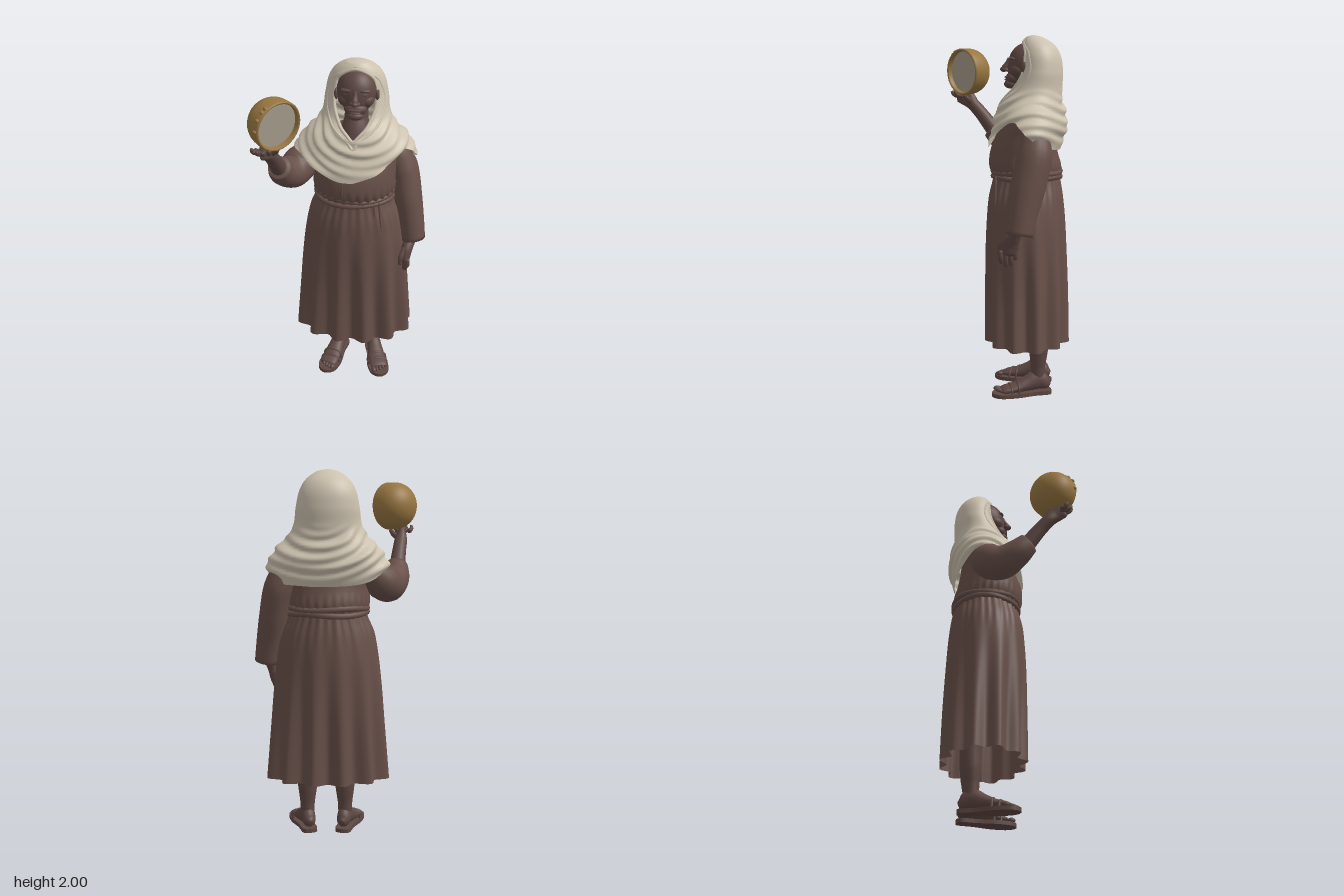
import * as THREE from 'three';
import { mergeVertices } from 'three/addons/utils/BufferGeometryUtils.js';

const V = (x, y, z) => new THREE.Vector3(x, y, z);
const { smoothstep } = THREE.MathUtils;

// Smooth surface from a rule fn(u, v), u and v in 0..1
function surface(nu, nv, fn) {
  const pos = [], idx = [];
  for (let j = 0; j <= nv; j++) for (let i = 0; i <= nu; i++) pos.push(...fn(i / nu, j / nv));
  for (let j = 0; j < nv; j++) for (let i = 0; i < nu; i++) {
    const a = j * (nu + 1) + i, b = a + 1, c = a + nu + 1, d = c + 1;
    idx.push(a, b, d, a, d, c);
  }
  let g = new THREE.BufferGeometry();
  g.setAttribute('position', new THREE.Float32BufferAttribute(pos, 3));
  g.setIndex(idx);
  g = mergeVertices(g, 1e-5);
  g.computeVertexNormals();
  return g;
}

// Smooth lookup of rows [key, ...values], key rising
function profile(rows) {
  const size = rows[0].length - 1;
  const f = new THREE.CubicInterpolant(rows.map(r => r[0]), rows.flatMap(r => r.slice(1)), size, new Float32Array(size));
  return key => [...f.evaluate(key)];
}

// Capped limb through points [x, y, z, radius, second radius]
function limb(points, ref = V(0, 0, 1), n = 20, m = 28) {
  const curve = new THREE.CatmullRomCurve3(points.map(p => V(p[0], p[1], p[2])));
  const radius = (t, k) => {
    const s = t * (points.length - 1), i = Math.min(Math.floor(s), points.length - 2);
    const at = p => p[3 + k] ?? p[3];
    return THREE.MathUtils.lerp(at(points[i]), at(points[i + 1]), s - i);
  };
  return surface(n, m + 2, (u, v) => {
    const row = Math.round(v * (m + 2)), t = Math.min(Math.max(row - 1, 0), m) / m;
    const end = row === 0 || row === m + 2 ? 0 : 1;
    const c = curve.getPoint(t), tan = curve.getTangent(t);
    const side = ref.clone().cross(tan).normalize(), up = tan.clone().cross(side);
    const a = u * Math.PI * 2;
    c.addScaledVector(side, Math.cos(a) * radius(t, 0) * end).addScaledVector(up, Math.sin(a) * radius(t, 1) * end);
    return c.toArray();
  });
}

const tube = (pts, r, closed = false, n = 64) =>
  new THREE.TubeGeometry(new THREE.CatmullRomCurve3(pts, closed), n, r, 8, closed);

export function createModel() {
  const model = new THREE.Group();
  const mat = (name, color, side = THREE.FrontSide) => Object.assign(new THREE.MeshStandardMaterial({ color, side }), { name });
  const skin = mat('dark skin', 0x5e4843);
  const dress = mat('brown cloth', 0x685049, THREE.DoubleSide);
  const cream = mat('cream cloth', 0xcdc2af, THREE.DoubleSide);
  const gold = mat('golden wood', 0x987641);
  const hide = mat('grey drum skin', 0xa59c8c);
  const add = (name, geo, material, parent = model) => {
    const mesh = new THREE.Mesh(geo, material);
    mesh.name = name;
    parent.add(mesh);
    return mesh;
  };
  const ball = (name, x, y, z, rx, ry, rz, parent = model, material = skin) => {
    const b = add(name, new THREE.SphereGeometry(1, 20, 14), material, parent);
    b.position.set(x, y, z);
    b.scale.set(rx, ry, rz);
    return b;
  };
  // Point on a body ring [halfWidth, frontZ, backZ] at angle a from the front
  const ring = ([hx, zf, zb], y, a, d = 0) =>
    [0.052 + (hx + d) * Math.sin(a), y, (zf + zb) / 2 + ((zf - zb) / 2 + d) * Math.cos(a)];

  // Skirt with deep folds toward the hem
  const skirtShape = profile([[0.295, 0.355, 0.118, -0.37], [0.6, 0.328, 0.116, -0.362], [0.85, 0.305, 0.112, -0.35],
    [1.0, 0.285, 0.104, -0.34], [1.12, 0.258, 0.09, -0.325], [1.2, 0.222, 0.07, -0.31], [1.25, 0.21, 0.06, -0.3]]);
  add('skirt', surface(192, 40, (u, v) => {
    const y = 0.297 + 0.943 * v, a = u * Math.PI * 2;
    const deep = 0.021 * (1 - smoothstep(y, 0.3, 1.2)) + 0.002;
    const d = -deep * (1 + Math.cos(12 * a + 0.6 * Math.sin(2 * a))) + 0.003 * smoothstep(y, 0.95, 1.2) * Math.cos(32 * a);
    return ring(skirtShape(y), y, a, d);
  }), dress);

  // Blouse, gathered above the belt
  const blouseShape = profile([[1.22, 0.212, 0.06, -0.3], [1.28, 0.229, 0.086, -0.31], [1.36, 0.229, 0.084, -0.292],
    [1.45, 0.23, 0.052, -0.275], [1.55, 0.225, 0.0, -0.26], [1.62, 0.13, -0.04, -0.21], [1.66, 0.05, -0.08, -0.15]]);
  add('blouse', surface(160, 26, (u, v) => {
    const y = 1.22 + 0.44 * v, a = u * Math.PI * 2;
    return ring(blouseShape(y), y, a, 0.004 * (1 - smoothstep(y, 1.25, 1.36)) * Math.cos(30 * a));
  }), dress);
  add('blouseSeam', tube([1.27, 1.31, 1.36, 1.4].map(y => V(...ring(blouseShape(y), y, -0.23))), 0.004, false, 12), dress);

  // Twisted cord belt with hanging ends
  for (const [k, y] of [1.225, 1.255].entries()) {
    const pts = Array.from({ length: 24 }, (_, i) =>
      V(...ring([0.216, 0.066, -0.306], y + 0.005 * Math.sin(i * 0.8 + k * 3), i / 24 * Math.PI * 2)));
    add('beltCord', tube(pts, 0.016, true, 96), dress);
  }
  for (const x of [0.17, 0.2])
    add('beltEnd', tube([V(x, 1.24, 0.046), V(x + 0.01, 1.14, 0.046), V(x + 0.02, 1.03, 0.046)], 0.006, false, 12), dress);

  // Shawl: hood and shoulder drape as one sheet, open at the face
  const shawlShape = profile([[1.36, 0.322, 0.098, -0.298], [1.42, 0.322, 0.09, -0.322], [1.5, 0.315, 0.07, -0.342], [1.56, 0.295, 0.054, -0.337],
    [1.6, 0.264, 0.04, -0.327], [1.65, 0.215, 0.016, -0.317], [1.7, 0.187, -0.02, -0.314], [1.8, 0.171, -0.064, -0.318],
    [1.9, 0.146, -0.08, -0.3], [1.95, 0.112, -0.092, -0.265], [1.98, 0.072, -0.108, -0.22], [1.992, 0.045, -0.122, -0.19], [2, 0, -0.152, -0.152]]);
  const openShape = profile([[1.61, 0], [1.65, 0.055], [1.7, 0.092], [1.75, 0.112], [1.8, 0.118], [1.88, 0.107], [1.93, 0.08], [1.963, 0]]);
  const opening = y => y <= 1.61 || y >= 1.963 ? 0 : Math.asin(Math.min(0.9, Math.max(0, openShape(y)[0]) / shawlShape(y)[0]));
  // Lower edge by angle in degrees: point in front, notch before the left arm, low back
  const hemShape = profile([[0, 1.385], [20, 1.425], [45, 1.5], [65, 1.535], [90, 1.465], [120, 1.4], [150, 1.385], [180, 1.38],
    [220, 1.4], [255, 1.47], [280, 1.49], [315, 1.455], [345, 1.39], [360, 1.385]]);
  const drape = (a, y) => {
    const amp = 0.007 * (1 - smoothstep(y, 1.62, 1.72)) * smoothstep(y, 1.39, 1.48);
    const level = y - 0.12 * Math.sin(a) ** 2 + 0.05 * Math.sin(a + 0.5);
    const flare = 0.014 * Math.sin(a) ** 2 * (1 - smoothstep(y, 1.48, 1.62));
    return ring(shawlShape(y), y, a, flare + amp * (Math.sin(level * 105) + 0.6 * Math.sin(level * 61 + 2 * a) + 0.4 * Math.sin(level * 40 - 3 * a)));
  };
  add('shawl', surface(144, 90, (u, v) => {
    const hem = hemShape(u * 360)[0], y = hem + (2 - hem) * Math.sin(v * Math.PI / 2), o = opening(y);
    // u runs from one edge of the face, round the back, to the other
    return drape(o + (2 * Math.PI - 2 * o) * u, y);
  }), cream);

  // Rolled hood edge and loose cowl fold round the face
  const faceLoop = (extra, low, high, lift) => {
    const pts = [];
    for (const s of [1, -1]) for (let i = 0; i < 12; i++) {
      const k = i / 12, y = s > 0 ? low + (high - low) * k : high - (high - low) * k;
      const spread = extra * Math.sin(Math.PI * (y - low) / (high - low));
      pts.push(V(...ring(shawlShape(y), y, s * (opening(y) + spread), lift)));
    }
    return pts;
  };
  add('hoodEdge', tube(faceLoop(0, 1.605, 1.963, -0.005), 0.01, true, 120), cream);
  add('cowlFold', tube(faceLoop(0.4, 1.565, 1.972, -0.007), 0.01, true, 120), cream);

  // Head and neck
  const head = new THREE.Group();
  head.name = 'head';
  head.position.x = 0.058;
  model.add(head);
  const skull = new THREE.SphereGeometry(1, 32, 24), p = skull.attributes.position;
  for (let i = 0; i < p.count; i++) {
    const y = p.getY(i), jaw = Math.max(0, -y);
    p.setXYZ(i, p.getX(i) * 0.11 * (1 - 0.16 * jaw), 1.838 + y * 0.122, -0.128 + p.getZ(i) * 0.112 + jaw * 0.025);
  }
  skull.computeVertexNormals();
  add('skull', skull, skin, head);
  add('neck', limb([[0, 1.77, -0.12, 0.064], [0, 1.69, -0.105, 0.064], [0, 1.62, -0.09, 0.085], [0, 1.56, -0.09, 0.11]]), skin, head);
  add('nose', limb([[0, 1.875, -0.024, 0.01], [0, 1.845, -0.012, 0.014], [0, 1.822, 0.002, 0.018], [0, 1.804, 0.004, 0.014]], V(0, 0, 1), 14, 14), skin, head);
  ball('noseTip', 0, 1.814, 0.008, 0.019, 0.015, 0.02, head);
  ball('muzzle', 0, 1.766, -0.045, 0.062, 0.038, 0.042, head);
  ball('upperLip', 0, 1.772, -0.014, 0.04, 0.006, 0.018, head);
  ball('lowerLip', 0, 1.757, -0.014, 0.034, 0.007, 0.018, head);
  ball('chin', 0, 1.734, -0.032, 0.045, 0.026, 0.038, head);
  for (const s of [1, -1]) {
    ball('nostril', s * 0.017, 1.81, -0.006, 0.012, 0.01, 0.014, head);
    ball('brow', s * 0.042, 1.872, -0.044, 0.038, 0.011, 0.022, head).rotation.z = -s * 0.06;
    ball('eyelid', s * 0.043, 1.85, -0.042, 0.022, 0.009, 0.016, head);
    ball('cheek', s * 0.05, 1.808, -0.08, 0.048, 0.042, 0.052, head);
    ball('ear', s * 0.11, 1.82, -0.11, 0.012, 0.034, 0.022, head);
  }

  // Left arm hanging down
  add('leftSleeve', limb([[0.23, 1.53, -0.165, 0.055], [0.28, 1.45, -0.17, 0.078], [0.32, 1.36, -0.168, 0.083, 0.095],
    [0.352, 1.2, -0.135, 0.08, 0.095], [0.375, 1.06, -0.108, 0.075, 0.08], [0.392, 0.945, -0.09, 0.07, 0.072]]), dress);
  add('leftHand', limb([[0.385, 1.0, -0.085, 0.036], [0.375, 0.94, -0.065, 0.034, 0.032], [0.36, 0.895, -0.042, 0.05, 0.033],
    [0.355, 0.845, -0.03, 0.052, 0.027], [0.353, 0.83, -0.03, 0.04, 0.016]], V(1, 0, 0)), skin);
  for (let i = 0; i < 4; i++) {
    const z = 0.008 - i * 0.026, low = [0.785, 0.77, 0.772, 0.79][i], x = 0.368 - i * 0.007;
    add('leftFinger', limb([[x, 0.86, z, 0.014], [x, 0.82, z + 0.002, 0.014], [x - 0.01, low + 0.015, z, 0.012], [x - 0.015, low, z, 0.007]], V(1, 0, 0), 10, 10), skin);
  }
  add('leftThumb', limb([[0.35, 0.915, -0.02, 0.017], [0.33, 0.87, 0.012, 0.016], [0.324, 0.825, 0.018, 0.009]], V(1, 0, 0), 10, 10), skin);

  // Right arm raised under the drum
  add('rightSleeve', limb([[-0.11, 1.53, -0.155, 0.055], [-0.185, 1.45, -0.145, 0.082], [-0.25, 1.39, -0.11, 0.1],
    [-0.287, 1.37, -0.045, 0.096], [-0.327, 1.405, 0.03, 0.08], [-0.34, 1.465, 0.095, 0.062]]), dress);
  add('rightForearm', limb([[-0.338, 1.44, 0.075, 0.046], [-0.356, 1.55, 0.16, 0.039], [-0.368, 1.605, 0.21, 0.037],
    [-0.375, 1.64, 0.245, 0.048, 0.025], [-0.385, 1.662, 0.285, 0.048, 0.018], [-0.387, 1.667, 0.295, 0.034, 0.01]], V(1, 0, 0)), skin);
  for (let i = 0; i < 4; i++) {
    const k = i / 3, bx = -0.42 + 0.066 * k, tx = -0.435 + 0.09 * k, tz = [0.31, 0.335, 0.34, 0.32][i];
    add('rightFinger', limb([[bx, 1.655, 0.27, 0.014], [(bx + tx) / 2, 1.658, (0.28 + tz) / 2, 0.014], [tx, 1.668, tz - 0.01, 0.012], [tx, 1.684, tz, 0.008]], V(1, 0, 0), 10, 12), skin);
  }
  add('rightThumb', limb([[-0.36, 1.615, 0.22, 0.018], [-0.328, 1.637, 0.24, 0.016], [-0.31, 1.66, 0.26, 0.01]], V(0, 0, 1), 10, 10), skin);

  // Round-backed hand drum with a recessed head, facing forward and left
  const drum = new THREE.Group();
  drum.name = 'drum';
  drum.position.set(-0.334, 1.8, 0.236);
  drum.rotation.set(0.04, Math.PI / 4, 0, 'YXZ');
  model.add(drum);
  const bowl = Array.from({ length: 17 }, (_, i) => {
    const a = i / 16 * Math.PI / 2;
    return new THREE.Vector2(0.134 * Math.sin(a), -0.12 * Math.cos(a));
  });
  for (const q of [[0.136, 0.025], [0.136, 0.048], [0.132, 0.055], [0.126, 0.055], [0.121, 0.05], [0.119, 0.015]]) bowl.push(new THREE.Vector2(...q));
  add('drumBowl', new THREE.LatheGeometry(bowl, 48), gold, drum).rotation.x = Math.PI / 2;
  add('drumHead', new THREE.CircleGeometry(0.121, 48), hide, drum).position.z = 0.028;
  for (const a of [2.1, 2.3, 2.65, 3.1])
    ball('drumPeg', 0.134 * Math.cos(a), 0.134 * Math.sin(a), 0.036, 0.011, 0.011, 0.014, drum, gold);

  // Legs, feet and sandals
  const outline = new THREE.Shape();
  outline.moveTo(0, -0.078);
  outline.splineThru([[0.04, -0.06], [0.045, 0.03], [0.063, 0.14], [0.052, 0.23], [0, 0.265], [-0.052, 0.23], [-0.063, 0.14], [-0.045, 0.03], [-0.04, -0.06], [0, -0.078]]
    .map(q => new THREE.Vector2(...q)));
  for (const [side, x, s] of [['right', -0.043, -1], ['left', 0.168, 1]]) {
    const leg = new THREE.Group();
    leg.name = side + 'Leg';
    leg.position.set(x, 0, -0.19);
    leg.rotation.y = s * 0.27;
    model.add(leg);
    add('shin', limb([[0, 0.07, 0, 0.036], [0, 0.16, 0, 0.041], [0, 0.25, -0.003, 0.053], [0, 0.38, -0.005, 0.06], [0, 0.6, 0.02, 0.07]]), skin, leg);
    add('foot', limb([[0, 0.05, -0.068, 0.015, 0.02], [0, 0.058, -0.045, 0.036, 0.037], [0, 0.08, 0, 0.041, 0.06], [0, 0.064, 0.06, 0.046, 0.044],
      [0, 0.046, 0.13, 0.054, 0.028], [0, 0.038, 0.19, 0.053, 0.019], [0, 0.034, 0.21, 0.044, 0.013]], V(0, 1, 0)), skin, leg);
    for (let i = 0; i < 5; i++)
      ball('toe', s * (-0.038 + i * 0.02), 0.034, 0.226 - i * i * 0.0024, i ? 0.01 : 0.015, i ? 0.011 : 0.014, 0.022, leg);
    const sole = new THREE.ExtrudeGeometry(outline, { depth: 0.022, bevelEnabled: false, curveSegments: 40 });
    sole.rotateX(Math.PI / 2);
    sole.translate(0, 0.022, 0);
    add('sandalSole', sole, skin, leg);
    for (const [z, top, w] of [[0.16, 0.064, 0.058], [0.12, 0.078, 0.058]])
      add('sandalStrap', tube([V(-w, 0.018, z), V(-w * 0.82, top * 0.76, z), V(0, top, z), V(w * 0.82, top * 0.76, z), V(w, 0.018, z)], 0.007, false, 24), skin, leg);
  }
  return model;
}
